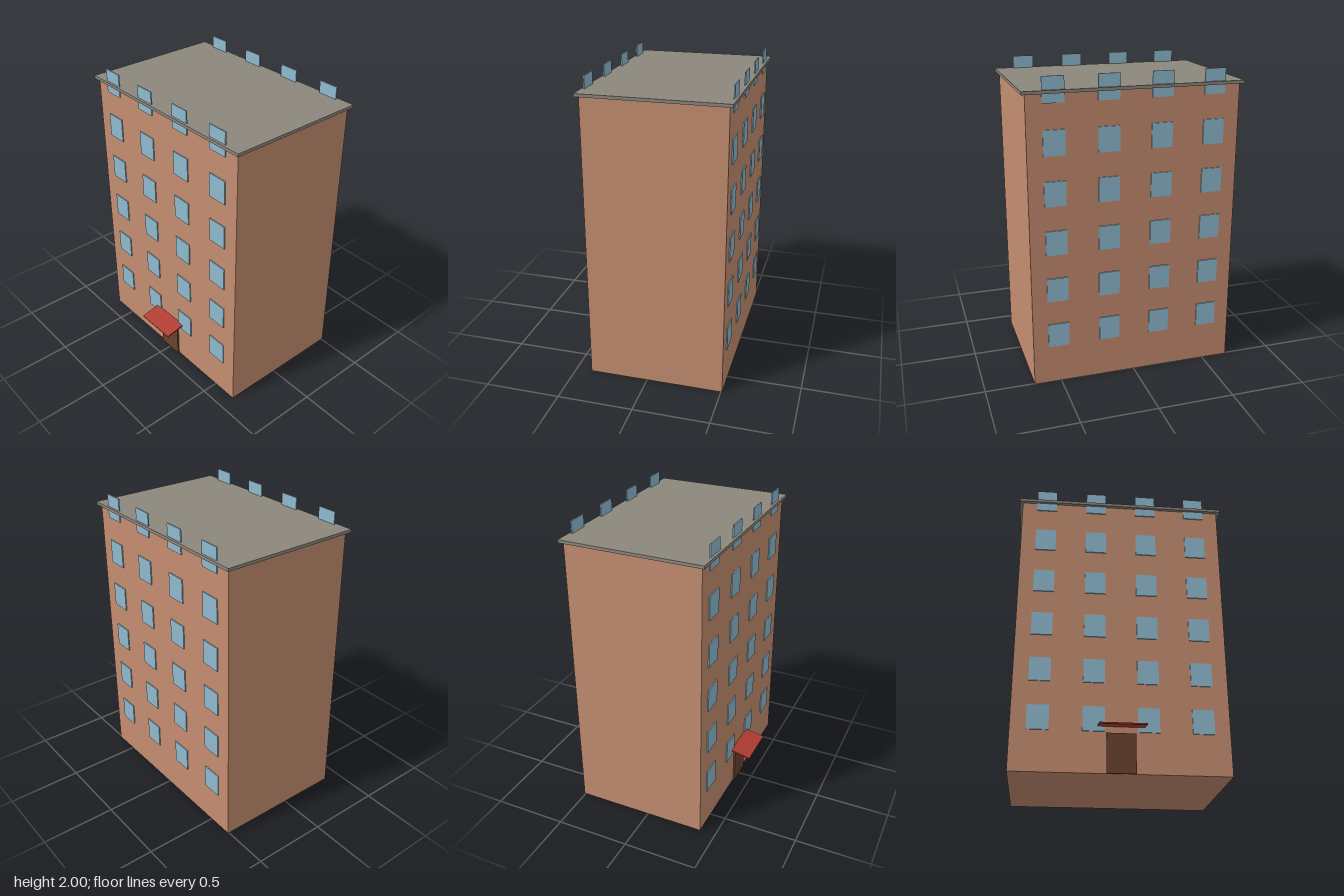
import * as THREE from 'three';

const mat = (name, color) => {
  const m = new THREE.MeshStandardMaterial({ color });
  m.name = name;
  return m;
};

export function createModel() {
  const brick = mat('brick', 0xc48d70);
  const roofGrey = mat('roof grey', 0x8c877d);
  const glass = mat('glass blue', 0x8fbacf);
  const doorBrown = mat('door brown', 0x68422d);
  const awningRed = mat('awning red', 0xb03c32);

  const model = new THREE.Group();
  model.name = 'apartmentBuilding';
  const midZ = -0.058; // the block sits back to leave room for the awning
  const halfDepth = 0.45;

  const box = (name, material, size, pos, parent = model) => {
    const mesh = new THREE.Mesh(new THREE.BoxGeometry(...size), material);
    mesh.name = name;
    mesh.position.set(...pos);
    parent.add(mesh);
    return mesh;
  };

  // Main block and overhanging flat roof
  box('walls', brick, [1.354, 1.9, halfDepth * 2], [0, 0.95, midZ]);
  box('roof', roofGrey, [1.4, 0.02, 0.946], [0, 1.91, midZ]);

  // Six rows of four windows on front and back; the top row rises through the roof
  for (const side of [1, -1]) {
    const windows = new THREE.Group();
    windows.name = side > 0 ? 'frontWindows' : 'backWindows';
    model.add(windows);
    for (let row = 0; row < 6; row++) {
      for (const x of [-0.51, -0.17, 0.17, 0.51]) {
        const y = 0.339 + row * 0.3164;
        box('window', glass, [0.136, 0.158, 0.008],
          [x, y, midZ + side * (halfDepth + 0.003)], windows);
      }
    }
  }

  // Entrance door and sloping awning
  box('door', doorBrown, [0.18, 0.25, 0.02], [0, 0.125, 0.394]);
  const awning = box('awning', awningRed, [0.29, 0.009, 0.141], [0, 0.2835, 0.46]);
  awning.rotation.x = 0.2;

  return model;
}
